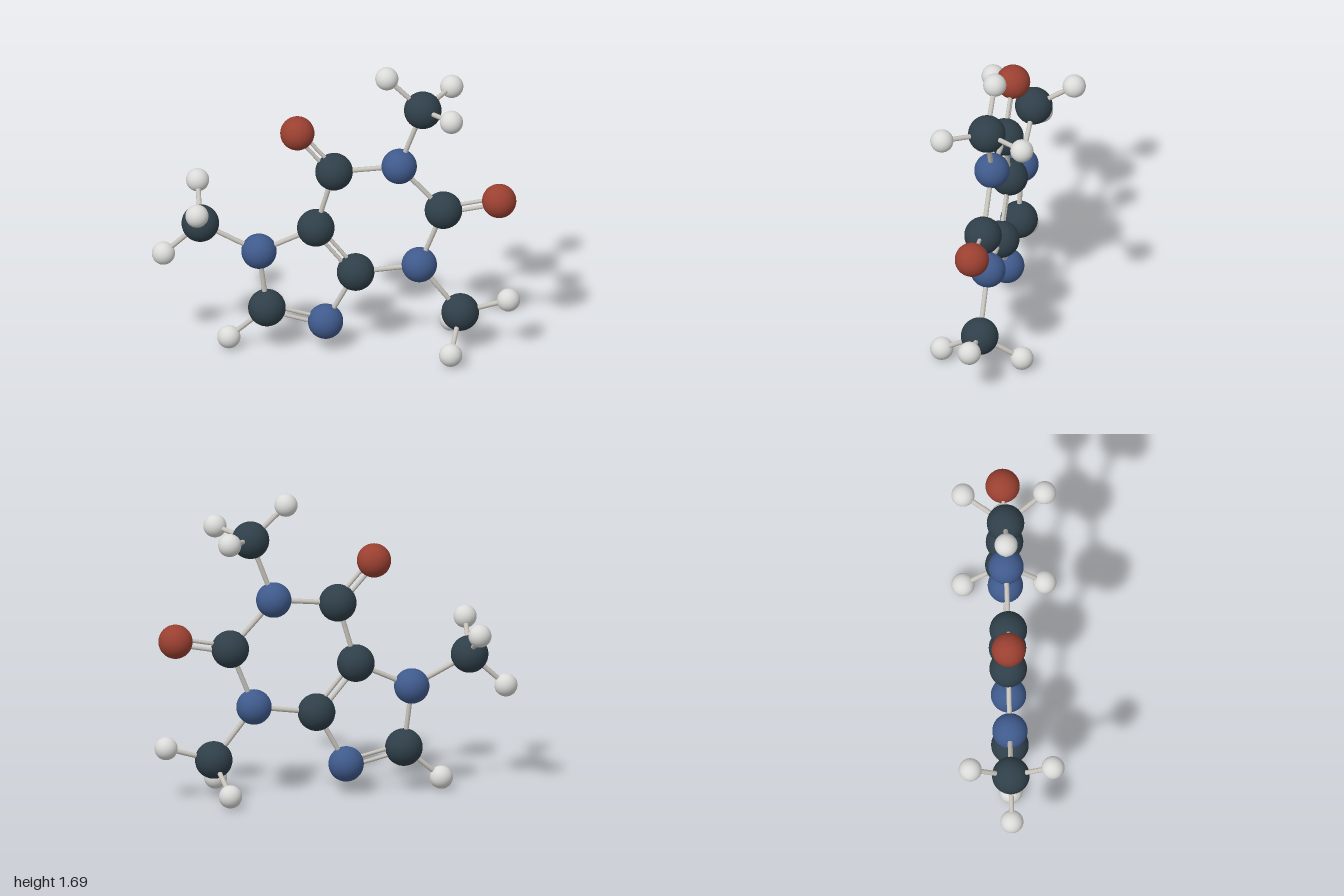
import * as THREE from 'three';

const mat = (name, color) => Object.assign(new THREE.MeshStandardMaterial({ color }), { name });

export function createModel() {
  const group = new THREE.Group();
  group.name = 'moleculeModel';

  const kinds = {
    C: { name: 'carbonAtom', radius: 0.102, material: mat('dark slate', 0x2f3f49) },
    N: { name: 'nitrogenAtom', radius: 0.096, material: mat('blue', 0x3f5a8c) },
    O: { name: 'oxygenAtom', radius: 0.093, material: mat('brick red', 0x9a4031) },
    H: { name: 'hydrogenAtom', radius: 0.063, material: mat('pale grey', 0xdadad8) },
  };
  const bondMaterial = mat('warm grey', 0xc6c2bb);

  // Atom centres; the first letter of each key is the kind of atom
  const atoms = {
    C1: [-0.013, 1.066, 0.003], C2: [0.58, 0.834, -0.015], C3: [0.104, 0.46, -0.001],
    C4: [-0.112, 0.725, 0.002], C5: [-0.377, 0.243, 0.01],
    N1: [0.34, 1.098, -0.008], N2: [0.449, 0.505, -0.011], N3: [-0.42, 0.583, 0.01],
    N4: [-0.059, 0.163, 0.004],
    O1: [-0.212, 1.295, 0.004], O2: [0.882, 0.89, -0.024],
    H5: [-0.583, 0.066, 0.014],
    // Three methyl groups
    C6: [0.468, 1.438, -0.01], H6a: [0.273, 1.626, -0.008],
    H6b: [0.63, 1.472, 0.203], H6c: [0.618, 1.472, -0.24],
    C7: [-0.738, 0.749, 0.013], H7a: [-0.938, 0.567, 0.018],
    H7b: [-0.749, 0.903, 0.242], H7c: [-0.76, 0.903, -0.207],
    C8: [0.671, 0.219, -0.018], H8a: [0.933, 0.294, -0.022],
    H8b: [0.626, 0.066, 0.204], H8c: [0.614, 0.066, -0.24],
  };

  const singles = 'C1-C4 C1-N1 N1-C2 C2-N2 N2-C3 C3-N4 C4-N3 N3-C5 C5-H5 N1-C6 N3-C7 N2-C8 '
    + 'C6-H6a C6-H6b C6-H6c C7-H7a C7-H7b C7-H7c C8-H8a C8-H8b C8-H8c';
  const doubles = 'C1-O1 C2-O2 C4-C3 C5-N4';

  // Atom spheres
  for (const kind of Object.values(kinds)) kind.geometry = new THREE.SphereGeometry(kind.radius, 40, 28);
  for (const [key, p] of Object.entries(atoms)) {
    const kind = kinds[key[0]];
    const mesh = new THREE.Mesh(kind.geometry, kind.material);
    mesh.name = kind.name;
    mesh.position.set(...p);
    group.add(mesh);
  }

  // A rod between two atoms, shifted sideways within the ring plane
  const up = new THREE.Vector3(0, 1, 0);
  function addBond(pair, radius, shift, name) {
    const [a, b] = pair.split('-').map((key) => new THREE.Vector3(...atoms[key]));
    const dir = b.clone().sub(a);
    const rod = new THREE.Mesh(new THREE.CylinderGeometry(radius, radius, dir.length(), 16), bondMaterial);
    dir.normalize();
    rod.quaternion.setFromUnitVectors(up, dir);
    rod.position.copy(a).add(b).multiplyScalar(0.5);
    rod.position.addScaledVector(new THREE.Vector3(-dir.y, dir.x, 0).normalize(), shift);
    rod.name = name;
    group.add(rod);
  }

  for (const pair of singles.split(' ')) addBond(pair, 0.0135, 0, 'singleBond');
  for (const pair of doubles.split(' ')) {
    for (const side of [-1, 1]) addBond(pair, 0.0105, side * 0.018, 'doubleBondRod');
  }
  return group;
}
